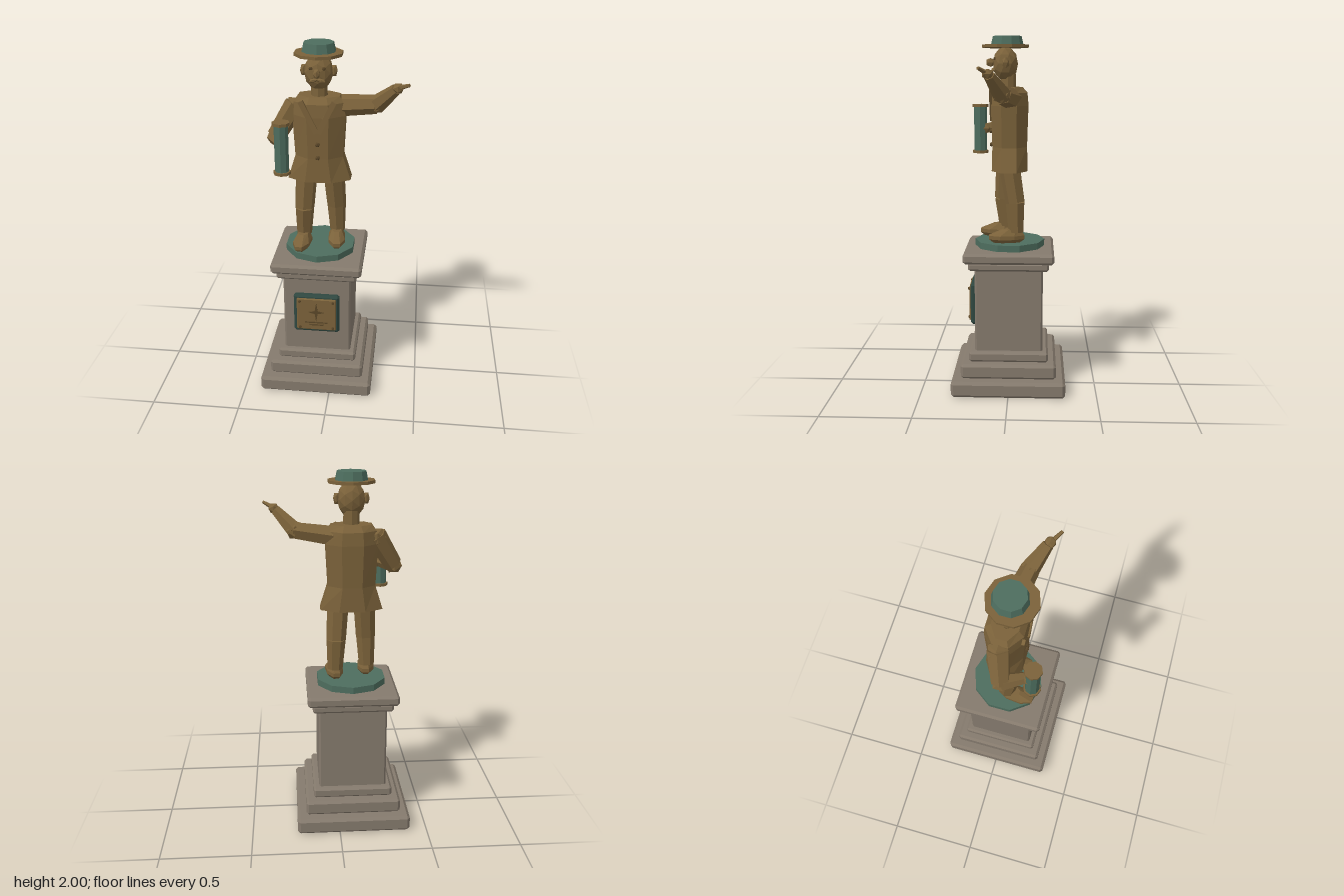
import * as THREE from 'three';
import { ConvexGeometry } from 'three/addons/geometries/ConvexGeometry.js';

const CX = -0.08; // centre line of pedestal and figure

function material(name, color) {
  const m = new THREE.MeshStandardMaterial({ color });
  m.name = name;
  return m;
}

// faceted normals
function flat(geo) {
  const g = geo.index ? geo.toNonIndexed() : geo;
  g.computeVertexNormals();
  return g;
}

// box with every edge cut by c
function chamferBox(w, h, d, c) {
  const pts = [];
  for (const x of [-1, 1]) for (const y of [-1, 1]) for (const z of [-1, 1]) {
    for (let axis = 0; axis < 3; axis++) {
      const cut = [c, c, c];
      cut[axis] = 0;
      pts.push(new THREE.Vector3(x * (w / 2 - cut[0]), y * (h / 2 - cut[1]), z * (d / 2 - cut[2])));
    }
  }
  return new ConvexGeometry(pts);
}

// closed body through rings [y, half width, half depth, z centre]
function loft(rings, n) {
  const pos = [], idx = [], k = 1 / Math.cos(Math.PI / n);
  for (const [y, rx, rz, cz] of rings) {
    for (let i = 0; i < n; i++) {
      const a = ((i + 0.5) / n) * Math.PI * 2;
      pos.push(Math.sin(a) * rx * k, y, Math.cos(a) * rz * k + cz);
    }
  }
  for (let r = 0; r < rings.length - 1; r++) {
    for (let i = 0; i < n; i++) {
      const a = r * n + i, b = r * n + (i + 1) % n;
      idx.push(a, b, b + n, a, b + n, a + n);
    }
  }
  const top = (rings.length - 1) * n;
  for (let i = 1; i < n - 1; i++) idx.push(0, i + 1, i, top, top + i, top + i + 1);
  const g = new THREE.BufferGeometry();
  g.setAttribute('position', new THREE.Float32BufferAttribute(pos, 3));
  g.setIndex(idx);
  return g;
}

export function createModel() {
  const model = new THREE.Group();
  model.name = 'statueOnPedestal';
  const stone = material('stone', 0x857a6d);
  const bronze = material('bronze', 0x7b623a);
  const patina = material('greenPatina', 0x4d6d5e);
  const frameGreen = material('darkGreen', 0x2f4740);
  const darkBronze = material('darkBronze', 0x5a4628);

  function add(name, geo, mat, x = 0, y = 0, z = 0, parent = model) {
    const m = new THREE.Mesh(flat(geo), mat);
    m.name = name;
    m.position.set(x, y, z);
    parent.add(m);
    return m;
  }
  // tapered limb between two points
  function limb(name, a, b, ra, rb, sides = 6, mat = bronze) {
    const p = new THREE.Vector3(...a), q = new THREE.Vector3(...b);
    const dir = q.clone().sub(p);
    const m = add(name, new THREE.CylinderGeometry(rb, ra, dir.length(), sides), mat);
    m.position.copy(p).add(q).multiplyScalar(0.5);
    m.quaternion.setFromUnitVectors(new THREE.Vector3(0, 1, 0), dir.normalize());
    return m;
  }
  function blob(name, p, s, detail = 0, mat = bronze) {
    const m = add(name, new THREE.IcosahedronGeometry(1, detail), mat, ...p);
    m.scale.set(...s);
    return m;
  }

  // Pedestal: name, width, bottom, top, chamfer
  const tiers = [
    ['pedestalBase', 0.645, 0, 0.092, 0.016],
    ['pedestalStep', 0.54, 0.092, 0.177, 0.014],
    ['pedestalUpperStep', 0.45, 0.177, 0.236, 0.012],
    ['pedestalBlock', 0.385, 0.226, 0.715, 0.01],
    ['pedestalNeck', 0.452, 0.71, 0.758, 0.012],
    ['pedestalCap', 0.508, 0.755, 0.815, 0.014],
  ];
  for (const [name, w, y0, y1, c] of tiers) {
    add(name, chamferBox(w, y1 - y0, w, c), stone, CX, (y0 + y1) / 2, 0);
  }
  add('footDisc', new THREE.CylinderGeometry(0.2, 0.2, 0.04, 10), patina, CX, 0.832, 0);

  // Plaque with star, lines and rivets
  const plaque = new THREE.Group();
  plaque.name = 'plaque';
  plaque.position.set(CX, 0.49, 0.19);
  model.add(plaque);
  add('plaqueFrame', chamferBox(0.262, 0.242, 0.04, 0.012), frameGreen, 0, 0, 0.012, plaque);
  add('plaquePlate', chamferBox(0.226, 0.206, 0.02, 0.006), bronze, 0, 0, 0.03, plaque);
  const star = new THREE.Shape();
  for (let i = 0; i < 8; i++) {
    const a = (i * Math.PI) / 4, r = i % 2 ? 0.012 : i % 4 ? 0.062 : 0.045;
    star[i ? 'lineTo' : 'moveTo'](Math.cos(a) * r, Math.sin(a) * r);
  }
  add('plaqueStar', new THREE.ExtrudeGeometry(star, { depth: 0.006, bevelEnabled: false }), darkBronze, 0, 0.018, 0.04, plaque);
  add('plaqueLine', new THREE.BoxGeometry(0.13, 0.006, 0.006), darkBronze, 0, -0.05, 0.042, plaque);
  add('plaqueShortLine', new THREE.BoxGeometry(0.08, 0.006, 0.006), darkBronze, 0, -0.066, 0.042, plaque);
  for (const x of [-1, 1]) for (const y of [-1, 1]) {
    const rivet = add('plaqueRivet', new THREE.CylinderGeometry(0.007, 0.009, 0.01, 6), darkBronze, x * 0.095, y * 0.085, 0.043, plaque);
    rivet.rotation.x = Math.PI / 2;
  }

  // Legs and shoes; the left leg stands further back
  const legs = [
    { s: 1, name: 'left', hipZ: 0, kneeZ: -0.035, ankleZ: -0.04, shoeZ: 0.015 },
    { s: -1, name: 'right', hipZ: 0.02, kneeZ: 0.035, ankleZ: 0.02, shoeZ: 0.075 },
  ];
  for (const { s, name, hipZ, kneeZ, ankleZ, shoeZ } of legs) {
    const hip = [CX + s * 0.073, 1.3, hipZ], knee = [CX + s * 0.086, 1.08, kneeZ];
    const ankle = [CX + s * 0.092, 0.91, ankleZ];
    limb(name + 'Thigh', knee, hip, 0.056, 0.062, 7);
    limb(name + 'Shin', ankle, knee, 0.044, 0.055, 7);
    const shoe = add(name + 'Shoe', loft([
      [0.852, 0.032, 0.075, 0], [0.872, 0.046, 0.1, 0], [0.893, 0.046, 0.1, 0], [0.928, 0.028, 0.05, -0.03],
    ], 8), bronze, CX + s * 0.094, 0, shoeZ);
    shoe.rotation.y = s * 0.1;
  }

  // Coat
  add('coat', loft([
    [1.255, 0.172, 0.1, 0], [1.39, 0.13, 0.097, 0], [1.62, 0.142, 0.104, 0],
    [1.69, 0.132, 0.098, 0], [1.722, 0.11, 0.07, 0],
  ], 8), bronze, CX, 0, 0);
  for (const s of [-1, 1]) {
    const lapel = add('lapel', new THREE.BoxGeometry(0.028, 0.19, 0.016), bronze, CX + s * 0.047, 1.625, 0.104);
    lapel.rotation.z = -s * 0.46;
  }
  for (const y of [1.475, 1.4]) blob('coatButton', [CX, y, 0.104], [0.014, 0.014, 0.012], 0, darkBronze);

  // Left arm, raised and pointing
  limb('leftUpperArm', [0.01, 1.66, -0.012], [0.225, 1.685, 0.03], 0.06, 0.05);
  blob('leftElbow', [0.225, 1.685, 0.03], [0.052, 0.052, 0.052]);
  limb('leftForearm', [0.225, 1.685, 0.03], [0.325, 1.785, 0.09], 0.05, 0.03);
  blob('leftHand', [0.335, 1.793, 0.098], [0.032, 0.03, 0.032]);
  limb('pointingFinger', [0.335, 1.795, 0.1], [0.392, 1.822, 0.143], 0.014, 0.009, 5);

  // Right arm, bent and holding the scroll
  blob('rightShoulder', [-0.215, 1.65, -0.008], [0.06, 0.055, 0.06]);
  limb('rightUpperArm', [-0.21, 1.66, -0.008], [-0.315, 1.49, 0.03], 0.06, 0.05);
  blob('rightElbow', [-0.318, 1.487, 0.03], [0.05, 0.05, 0.05]);
  limb('rightForearm', [-0.32, 1.49, 0.03], [-0.262, 1.48, 0.135], 0.046, 0.032);
  blob('rightHand', [-0.26, 1.48, 0.15], [0.036, 0.036, 0.04]);
  add('scroll', new THREE.CylinderGeometry(0.038, 0.038, 0.27, 8), patina, -0.26, 1.477, 0.18);
  for (const y of [1.342, 1.612]) add('scrollEnd', new THREE.CylinderGeometry(0.047, 0.047, 0.016, 8), bronze, -0.26, y, 0.18);

  // Head
  add('neck', new THREE.CylinderGeometry(0.042, 0.046, 0.12, 8), bronze, CX, 1.75, 0.01);
  blob('head', [CX, 1.85, 0.025], [0.078, 0.098, 0.07], 1);
  blob('nose', [CX, 1.857, 0.108], [0.02, 0.028, 0.026]);
  for (const s of [-1, 1]) {
    blob('ear', [CX + s * 0.08, 1.855, 0.02], [0.02, 0.034, 0.022]);
    blob('eye', [CX + s * 0.034, 1.878, 0.082], [0.012, 0.01, 0.01], 0, darkBronze);
    const whisker = blob('moustache', [CX + s * 0.02, 1.818, 0.09], [0.026, 0.011, 0.014]);
    whisker.rotation.z = -s * 0.25;
  }

  // Hat
  add('hatBrim', new THREE.CylinderGeometry(0.13, 0.13, 0.016, 10), bronze, CX, 1.945, 0.025);
  add('hatCrown', new THREE.CylinderGeometry(0.08, 0.092, 0.055, 10), patina, CX, 1.9725, 0.015);

  return model;
}
